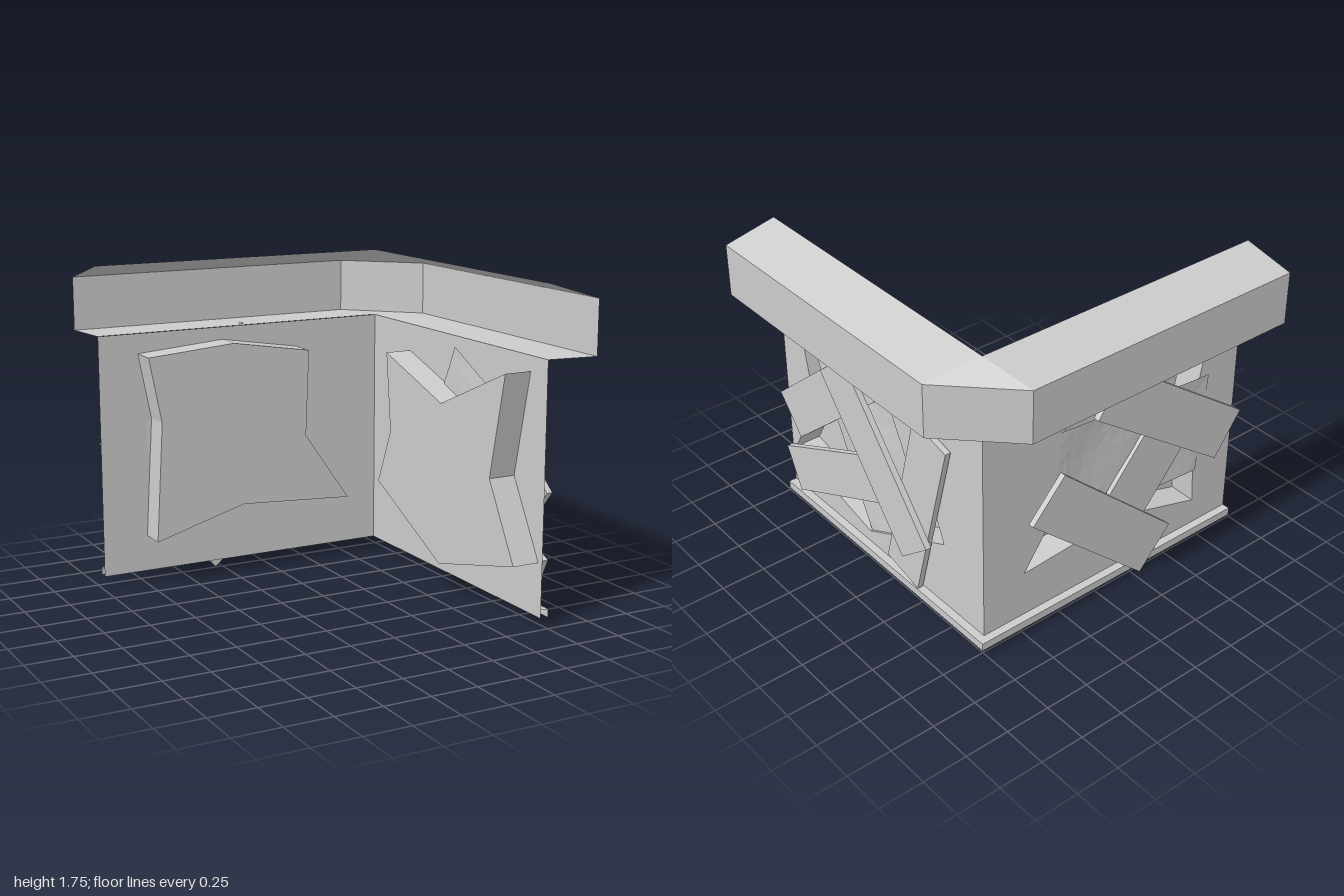
import * as THREE from 'three';

const material = new THREE.MeshStandardMaterial({ color: 0xcccccc, flatShading: true, side: THREE.DoubleSide });

function addMesh(parent, name, geometry) {
  const mesh = new THREE.Mesh(geometry, material);
  mesh.name = name;
  parent.add(mesh);
  return mesh;
}

// Skin between consecutive rows of [x, y, z] points
function loft(rows) {
  const positions = [];
  for (let i = 0; i < rows.length - 1; i++) {
    for (let j = 0; j < rows[i].length - 1; j++) {
      const a = rows[i][j], b = rows[i][j + 1], c = rows[i + 1][j + 1], d = rows[i + 1][j];
      positions.push(...a, ...b, ...c, ...a, ...c, ...d);
    }
  }
  const geometry = new THREE.BufferGeometry();
  geometry.setAttribute('position', new THREE.Float32BufferAttribute(positions, 3));
  geometry.computeVertexNormals();
  return geometry;
}

// Board from one end to the other, resting at depth d in front of the wall
function addPlank(parent, [x0, y0], [x1, y1], width, d, thickness = 0.033) {
  const plank = addMesh(parent, 'plank', new THREE.BoxGeometry(Math.hypot(x1 - x0, y1 - y0), width, thickness));
  plank.position.set(-(x0 + x1) / 2, (y0 + y1) / 2, d + thickness / 2);
  plank.rotation.z = Math.atan2(y1 - y0, x0 - x1);
}

// Thin buckled sheet hanging in the opening
function addSheet(parent, [cx, cy], angle, depth) {
  const geometry = new THREE.PlaneGeometry(1.01, 0.59, 12, 6);
  const p = geometry.attributes.position;
  for (let i = 0; i < p.count; i++) {
    p.setZ(i, 0.012 * Math.cos(p.getX(i) * 9) * Math.cos(p.getY(i) * 6));
  }
  geometry.computeVertexNormals();
  const sheet = addMesh(parent, 'tornSheet', geometry);
  sheet.position.set(-cx, cy, depth);
  sheet.rotation.z = angle;
}

// Wall in its own frame: +z is outside, horizontal coordinates are given mirrored
function makeWall(name, start, end, hole) {
  const wall = new THREE.Group();
  wall.name = name;
  const points = hole.map(([u, y]) => new THREE.Vector2(-u, y));
  const outline = new THREE.Shape([
    [-start, 0.06], [-end, 0.06], [-end, 1.39], [-start, 1.39],
  ].map(([u, y]) => new THREE.Vector2(u, y)));
  outline.holes.push(new THREE.Path(points));
  addMesh(wall, 'wallPanel', new THREE.ShapeGeometry(outline));

  // Recess behind the broken opening
  const loop = [...points, points[0]];
  addMesh(wall, 'recessSides', loft([0, -0.152].map(d => loop.map(v => [v.x, v.y, d]))));
  addMesh(wall, 'recessBack', new THREE.ShapeGeometry(new THREE.Shape(points))).position.z = -0.152;
  return wall;
}

export function createModel() {
  const model = new THREE.Group();
  model.name = 'boardedCorner';

  // Back wall with its boards
  const back = makeWall('backWall', -0.965, 0.73, [
    [-0.74, 1.28], [-0.24, 1.32], [0.22, 1.245], [0.2, 0.76],
    [0.47, 0.37], [-0.19, 0.41], [-0.71, 0.26], [-0.67, 0.92],
  ]);
  back.rotation.y = Math.PI;
  back.position.z = -0.735;
  addSheet(back, [-0.23, 0.8], -0.08, 0.005);
  addPlank(back, [-0.86, 0.67], [-0.01, 1.28], 0.29, 0.044);
  addPlank(back, [-0.39, 0.125], [0.36, 0.8], 0.3, 0.02);
  addPlank(back, [-0.14, 0.46], [-0.55, 0.95], 0.34, 0.012, 0.025);
  model.add(back);

  // Side wall with its boards
  const side = makeWall('sideWall', -0.735, 0.965, [
    [0.82, 1.31], [0.23, 1.055], [-0.34, 1.24], [-0.29, 0.8],
    [-0.42, 0.49], [0.235, 0.175], [0.93, 0.345], [0.7, 0.75],
  ]);
  side.rotation.y = Math.PI / 2;
  side.position.x = 0.73;
  addSheet(side, [0.185, 0.75], Math.atan2(0.91, -0.44), -0.012);
  addPlank(side, [0.878, 0.61], [0.085, 1.275], 0.27, 0.016);
  addPlank(side, [-0.38, 1.145], [-0.115, 0.145], 0.265, 0.012);
  addPlank(side, [0.895, 0.24], [-0.05, 0.685], 0.265, 0.012);
  addPlank(side, [0.395, 1.185], [-0.27, 0.38], 0.27, 0.046);
  model.add(side);

  // Cornice: open trough with a bevelled outer corner
  const cornice = [
    [[-0.965, -0.74], [-1, -1]], [[0.73, -0.74], [0.65, -1]],
    [[0.73, -0.74], [1, -0.65]], [[0.73, 0.965], [1, 1]],
  ];
  addMesh(model, 'cornice', loft(cornice.map(([[ix, iz], [ox, oz]]) => [
    [ix, 1.39, iz], [ox, 1.39, oz], [ox, 1.68, oz], [ix, 1.765, iz],
  ])));

  // Skirting ledge along the foot of both walls
  const skirting = [
    [[-0.965, -0.735], [-0.965, -0.78]], [[0.73, -0.735], [0.775, -0.78]], [[0.73, 0.965], [0.775, 0.965]],
  ];
  addMesh(model, 'skirting', loft(skirting.map(([[ix, iz], [ox, oz]]) => [
    [ix, 0.105, iz], [ox, 0.105, oz], [ox, 0.06, oz],
  ])));

  return model;
}
